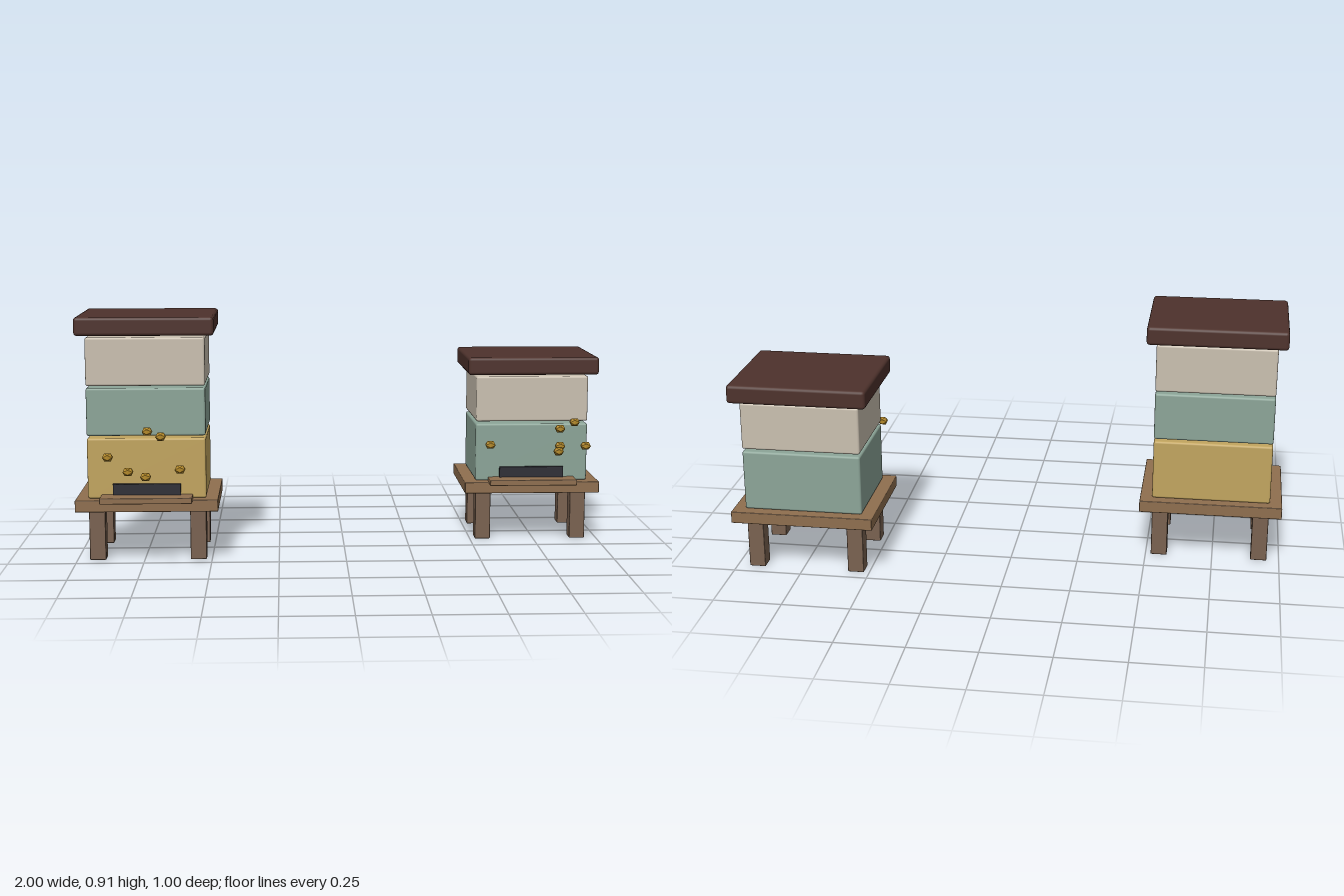
import * as THREE from 'three';
import { RoundedBoxGeometry } from 'three/addons/geometries/RoundedBoxGeometry.js';

const material = (name, color) => {
  const m = new THREE.MeshStandardMaterial({ color });
  m.name = name;
  return m;
};

export function createModel() {
  const cream = material('cream paint', 0xcac0b0);
  const sage = material('sage paint', 0x8ca598);
  const honey = material('honey paint', 0xc2a55f);
  const roof = material('roof brown', 0x4e322c);
  const plank = material('plank wood', 0x8f6f4f);
  const legWood = material('leg wood', 0x7a6250);
  const dark = material('entrance dark', 0x2e2e36);
  const amber = material('bee amber', 0xb58a2a);

  // Softly bevelled block between heights y0 and y1
  function block(parent, name, mat, w, y0, y1, d, bevel, x = 0, z = 0) {
    const mesh = new THREE.Mesh(new RoundedBoxGeometry(w, y1 - y0, d, 2, bevel), mat);
    mesh.position.set(x, (y0 + y1) / 2, z);
    mesh.name = name;
    parent.add(mesh);
  }

  // One hive: stand, stacked boxes from the bottom up, lid and entrance
  const levels = [[0.234, 0.459], [0.468, 0.645], [0.653, 0.831]];
  function makeHive(name, x, z, paints) {
    const hive = new THREE.Group();
    hive.name = name;
    hive.position.set(x, 0, z);
    for (const sx of [-1, 1])
      for (const sz of [-1, 1])
        block(hive, 'leg', legWood, 0.06, 0, 0.19, 0.06, 0.003, sx * 0.187, sz * 0.141);
    block(hive, 'stand', plank, 0.526, 0.19, 0.234, 0.431, 0.003);
    paints.forEach((paint, i) =>
      block(hive, 'hiveBox', paint, 0.437, ...levels[i], 0.355, 0.008));
    const lidY = levels[paints.length - 1][1] + 0.009;
    block(hive, 'lid', roof, 0.507, lidY, lidY + 0.068, 0.431, 0.012);
    block(hive, 'landingBoard', plank, 0.338, 0.227, 0.249, 0.1, 0.003, 0, 0.205);
    block(hive, 'entrance', dark, 0.25, 0.24, 0.29, 0.025, 0.001, 0, 0.177);
    return hive;
  }

  // Faceted bees hovering before each hive
  const beeGeometry = new THREE.IcosahedronGeometry(0.0175, 0).scale(1.25, 1, 1);
  function makeBees(name, points) {
    const bees = new THREE.Group();
    bees.name = name;
    for (const p of points) {
      const bee = new THREE.Mesh(beeGeometry, amber);
      bee.position.set(...p);
      bee.name = 'bee';
      bees.add(bee);
    }
    return bees;
  }

  const model = new THREE.Group();
  model.name = 'beehives';
  model.add(
    makeHive('tallHive', -0.737, 0.025, [honey, sage, cream]),
    makeHive('shortHive', 0.737, -0.283, [sage, cream]),
    makeBees('tallHiveBees', [
      [-0.73, 0.49, 0.241], [-0.678, 0.477, 0.279], [-0.863, 0.415, 0.355],
      [-0.598, 0.386, 0.447], [-0.785, 0.372, 0.414], [-0.716, 0.367, 0.487],
    ]),
    makeBees('shortHiveBees', [
      [0.553, 0.405, 0.07], [0.831, 0.454, -0.006], [0.9, 0.468, -0.08],
      [0.819, 0.399, 0.07], [0.809, 0.383, 0.098], [0.911, 0.404, 0.099],
    ])
  );
  return model;
}
